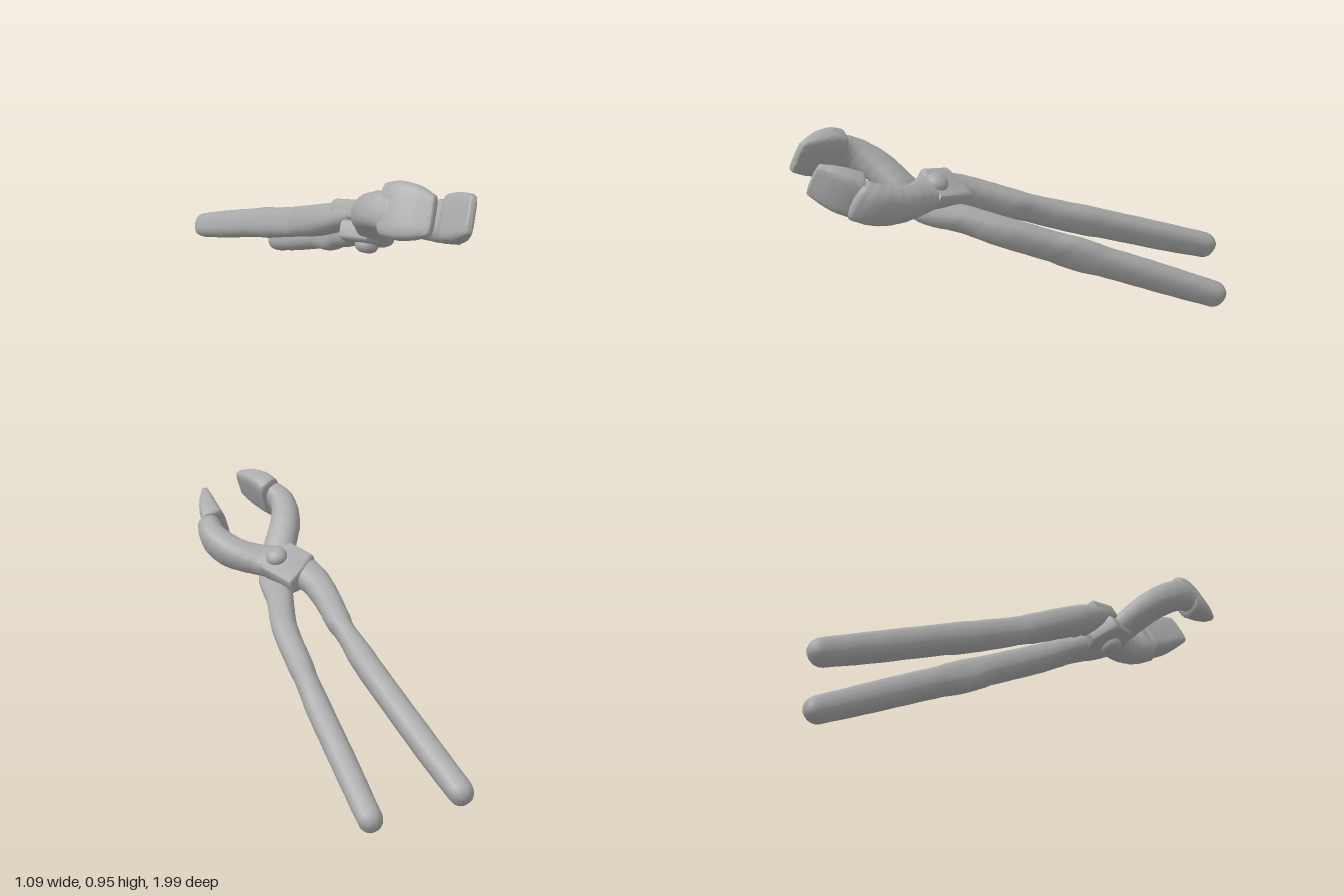
import * as THREE from 'three';
import { toCreasedNormals } from 'three/addons/utils/BufferGeometryUtils.js';

const V = (x, y, z) => new THREE.Vector3(x, y, z);

// Tilted frame of the tool: Y is the rivet axis, the origin is the pivot
const pivot = V(-0.2, 0.62, 0.43);
const axisN = V(0.443, 0.881, -0.161).normalize();
const axisZ = V(0.881, -0.443, 0).cross(axisN).normalize();
const axisX = axisN.clone().cross(axisZ);

// Plan position (world x, z) on the tool plane -> tilted frame
function local(x, z, off = 0) {
  const dx = x - pivot.x, dz = z - pivot.z;
  const d = V(dx, -(axisN.x * dx + axisN.z * dz) / axisN.y, dz);
  return V(d.dot(axisX), off, d.dot(axisZ));
}

// Sweep of superellipse sections; rows are [x, z, offset, halfWidth, halfHeight]
function sweep(rows, { steps = 60, sides = 20, power = 0.8, capA = 0.05, capB = 0.03, bumps = 0 }) {
  const path = new THREE.CatmullRomCurve3(rows.map(r => local(r[0], r[1], r[2])));
  const size = new THREE.CatmullRomCurve3(rows.map(r => V(r[3], r[4], 0)));
  const up = V(0, 1, 0), pos = [], idx = [];
  const ring = (t, shift, k) => {
    const T = path.getTangent(t);
    T.y = 0;
    T.normalize();
    const S = up.clone().cross(T), s = size.getPoint(t);
    const c = path.getPoint(t).addScaledVector(T, shift);
    for (let j = 0; j < sides; j++) {
      const a = j / sides * Math.PI * 2, ca = Math.cos(a), sa = Math.sin(a);
      const wob = k * (1 + bumps * Math.sin(t * 83 + 2 * a) * Math.sin(t * 51 + a));
      const p = c.clone()
        .addScaledVector(S, Math.sign(ca) * Math.abs(ca) ** power * s.x * wob)
        .addScaledVector(up, Math.sign(sa) * Math.abs(sa) ** power * s.y * wob);
      pos.push(p.x, p.y, p.z);
    }
  };
  const n = 5;
  for (let i = 0; i < n; i++) {
    const a = (1 - i / n) * Math.PI / 2;
    ring(0, -capA * Math.sin(a), Math.max(Math.cos(a), 0.001));
  }
  for (let i = 0; i <= steps; i++) ring(i / steps, 0, 1);
  for (let i = 1; i <= n; i++) {
    const a = i / n * Math.PI / 2;
    ring(1, capB * Math.sin(a), Math.max(Math.cos(a), 0.001));
  }
  const rings = pos.length / 3 / sides;
  for (let i = 0; i < rings - 1; i++) {
    for (let j = 0; j < sides; j++) {
      const a = i * sides + j, b = i * sides + (j + 1) % sides;
      idx.push(a, b, a + sides, b, b + sides, a + sides);
    }
  }
  const g = new THREE.BufferGeometry();
  g.setAttribute('position', new THREE.Float32BufferAttribute(pos, 3));
  g.setIndex(idx);
  return toCreasedNormals(g, 0.9);
}

// Lap plate with a rounded rim, from plan corners
function plate(corners, bottom, depth) {
  const bevel = 0.02;
  const shape = new THREE.Shape(corners.map(([x, z]) => {
    const p = local(x, z);
    return new THREE.Vector2(p.x, -p.z);
  }));
  const g = new THREE.ExtrudeGeometry(shape, {
    depth: depth - 2 * bevel, bevelEnabled: true, bevelSize: bevel, bevelThickness: bevel, bevelSegments: 4,
  });
  g.rotateX(-Math.PI / 2);
  g.translate(0, bottom + bevel, 0);
  return toCreasedNormals(g, 0.9);
}

export function createModel() {
  const steel = new THREE.MeshStandardMaterial({ color: 0xaaaaaa });
  steel.name = 'grey steel';
  const tool = new THREE.Group();
  tool.name = 'pincers';
  const add = (name, geometry) => {
    const m = new THREE.Mesh(geometry, steel);
    m.name = name;
    tool.add(m);
    return m;
  };

  // Upper lever: longer-reaching handle crossing over to the left jaw
  add('upperLever', sweep([
    [0.205, -0.935, -0.01, 0.054, 0.06], [0.13, -0.7, -0.005, 0.057, 0.066], [0.027, -0.4, 0, 0.057, 0.067],
    [-0.045, -0.2, 0, 0.057, 0.067], [-0.125, 0, 0, 0.057, 0.067], [-0.19, 0.13, 0, 0.062, 0.067],
    [-0.23, 0.26, 0.01, 0.07, 0.062], [-0.215, 0.4, 0.035, 0.09, 0.05], [-0.178, 0.5, 0.035, 0.075, 0.058],
    [-0.143, 0.6, 0.042, 0.067, 0.072], [-0.13, 0.7, 0.045, 0.068, 0.085], [-0.14, 0.79, 0.045, 0.064, 0.094],
    [-0.172, 0.845, 0.045, 0.058, 0.096],
  ], { capA: 0.06, bumps: 0.02 }));

  // Lower lever: shorter-reaching handle crossing under to the right jaw
  add('lowerLever', sweep([
    [0.488, -0.69, -0.01, 0.054, 0.06], [0.357, -0.43, -0.005, 0.057, 0.067], [0.24, -0.2, 0, 0.057, 0.069],
    [0.133, 0, 0, 0.057, 0.069], [0.022, 0.2, 0, 0.059, 0.066], [-0.075, 0.32, -0.015, 0.062, 0.058],
    [-0.18, 0.45, -0.04, 0.082, 0.05], [-0.285, 0.515, -0.01, 0.076, 0.058], [-0.4, 0.575, 0.01, 0.07, 0.066],
    [-0.472, 0.66, 0.015, 0.06, 0.072], [-0.483, 0.76, 0.015, 0.048, 0.085],
  ], { capA: 0.06, bumps: 0.02 }));

  // Jaw blocks, tall along the rivet axis and tapering to a blade
  const blockStyle = { steps: 16, sides: 32, power: 0.5, capA: 0.012, capB: 0.012 };
  add('leftJawBlock', sweep([
    [-0.195, 0.835, 0.048, 0.058, 0.098], [-0.222, 0.885, 0.05, 0.05, 0.1],
    [-0.256, 0.935, 0.052, 0.037, 0.092], [-0.29, 0.98, 0.052, 0.018, 0.078],
  ], blockStyle));
  add('rightJawBlock', sweep([
    [-0.472, 0.725, 0.02, 0.055, 0.105], [-0.475, 0.78, 0.02, 0.053, 0.114],
    [-0.47, 0.855, 0.018, 0.042, 0.106], [-0.462, 0.925, 0.012, 0.02, 0.08],
  ], blockStyle));

  // Lap plates of the joint
  add('upperLapPlate', plate(
    [[-0.145, 0.3], [-0.14, 0.45], [-0.21, 0.46], [-0.28, 0.42], [-0.28, 0.31], [-0.22, 0.3]], 0.0, 0.085));
  add('lowerLapPlate', plate(
    [[-0.12, 0.38], [-0.14, 0.47], [-0.21, 0.51], [-0.27, 0.48], [-0.28, 0.37], [-0.2, 0.33]], -0.085, 0.085));

  // Domed rivet heads on both faces
  const profile = [[0.05, -0.03], [0.05, 0.006], [0.042, 0.022], [0.025, 0.032], [0, 0.035]]
    .map(([r, y]) => new THREE.Vector2(r, y));
  for (const side of [1, -1]) {
    const head = add(side > 0 ? 'upperRivetHead' : 'lowerRivetHead', new THREE.LatheGeometry(profile, 24));
    head.position.y = side * 0.088;
    if (side < 0) head.rotation.x = Math.PI;
  }

  tool.applyMatrix4(new THREE.Matrix4().makeBasis(axisX, axisN, axisZ).setPosition(pivot));
  const model = new THREE.Group();
  model.name = 'model';
  model.add(tool);
  return model;
}
